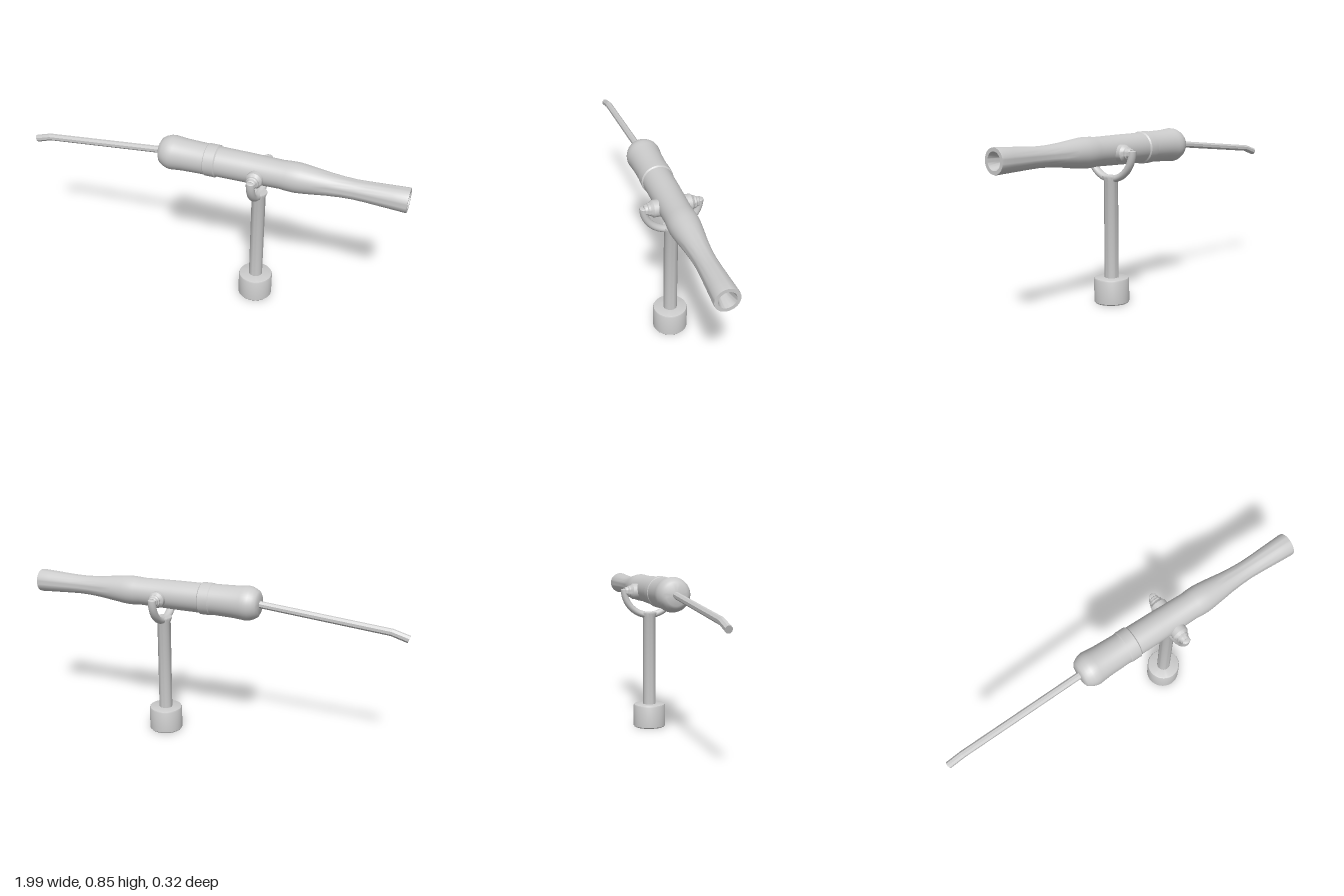
import * as THREE from 'three';
import { toCreasedNormals } from 'three/addons/utils/BufferGeometryUtils.js';

const AXIS_Y = 0.762; // height of the barrel axis
const PIVOT_X = 0.275; // stand position along the barrel

const grey = new THREE.MeshStandardMaterial({ color: 0xcccccc });
const greyFlat = new THREE.MeshStandardMaterial({ color: 0xcccccc, flatShading: true });

// Turned part from [radius, height] pairs, keeping sharp steps crisp
function turned(name, profile, segments = 32) {
  const points = profile.map(([r, h]) => new THREE.Vector2(r, h));
  const geometry = toCreasedNormals(new THREE.LatheGeometry(points, segments), 0.6);
  const mesh = new THREE.Mesh(geometry, grey);
  mesh.name = name;
  return mesh;
}

// Barrel with rounded breech, collar, swell, flared muzzle and hollow bore
function makeBarrel() {
  const barrel = turned('barrel', [
    [0, -0.25], [0.052, -0.25], [0.066, -0.242], [0.077, -0.225], [0.085, -0.205], [0.088, -0.185],
    [0.086, -0.165], [0.082, -0.12], [0.079, -0.02], [0.079, 0], [0.082, 0.004], [0.082, 0.056],
    [0.076, 0.062], [0.075, 0.2], [0.071, 0.39], [0.074, 0.42], [0.075, 0.46], [0.073, 0.49],
    [0.066, 0.55], [0.057, 0.62], [0.051, 0.69], [0.049, 0.75], [0.051, 0.81], [0.057, 0.93],
    [0.06, 0.99], [0.059, 1], [0.042, 1], [0.03, 0.95], [0.03, 0.75], [0, 0.75],
  ], 40);
  barrel.rotation.z = -Math.PI / 2;
  barrel.position.y = AXIS_Y;
  return barrel;
}

// Eight-sided aiming handle, its rows of vertices moved onto a bent path
function makeHandle() {
  const path = [[-0.988, 0.675], [-0.905, 0.7], [-0.23, 0.764]];
  const slant = [-0.35, -0.18, 0];
  const geometry = new THREE.CylinderGeometry(0.018, 0.018, 2, 8, 2, false, Math.PI / 8);
  geometry.rotateZ(-Math.PI / 2);
  const p = geometry.attributes.position;
  for (let i = 0; i < p.count; i++) {
    const row = Math.round(p.getX(i) + 1);
    const y = p.getY(i);
    p.setXY(i, path[row][0] + slant[row] * y, path[row][1] + y);
  }
  geometry.computeVertexNormals();
  const handle = new THREE.Mesh(geometry, greyFlat);
  handle.name = 'aimingHandle';
  return handle;
}

// Half-ring yoke with closed ends, and a stepped pivot pin on each side
function makeSwivel() {
  const swivel = new THREE.Group();
  swivel.name = 'swivel';
  swivel.position.set(PIVOT_X, AXIS_Y, 0);

  const ring = new THREE.TorusGeometry(0.14, 0.018, 14, 40, Math.PI);
  ring.rotateZ(Math.PI).rotateY(Math.PI / 2).scale(1.2, 1, 1);
  const yoke = new THREE.Mesh(ring, grey);
  yoke.name = 'yoke';
  swivel.add(yoke);

  for (const side of [1, -1]) {
    const end = new THREE.Mesh(new THREE.SphereGeometry(0.018, 16, 10), grey);
    end.name = side > 0 ? 'frontYokeEnd' : 'backYokeEnd';
    end.scale.set(1.2, 0.3, 1);
    end.position.z = side * 0.14;
    swivel.add(end);

    const pin = turned(side > 0 ? 'frontPivotPin' : 'backPivotPin', [
      [0.042, 0.03], [0.042, 0.094], [0.031, 0.108], [0.031, 0.117],
      [0.026, 0.121], [0.024, 0.133], [0.02, 0.137], [0, 0.137],
    ], 24);
    pin.rotation.x = side * Math.PI / 2;
    pin.position.y = -0.01;
    swivel.add(pin);
  }
  return swivel;
}

// Post with flared top standing in a round foot
function makeStand() {
  const stand = new THREE.Group();
  stand.name = 'stand';
  stand.position.x = PIVOT_X;
  stand.add(
    turned('post', [[0.035, 0.1], [0.035, 0.612], [0.043, 0.632], [0.042, 0.637], [0, 0.637]]),
    turned('foot', [[0, 0], [0.084, 0], [0.088, 0.005], [0.088, 0.118], [0.085, 0.125], [0.08, 0.127], [0, 0.127]]),
  );
  return stand;
}

export function createModel() {
  const model = new THREE.Group();
  model.name = 'swivelGun';
  model.add(makeBarrel(), makeHandle(), makeSwivel(), makeStand());
  return model;
}
